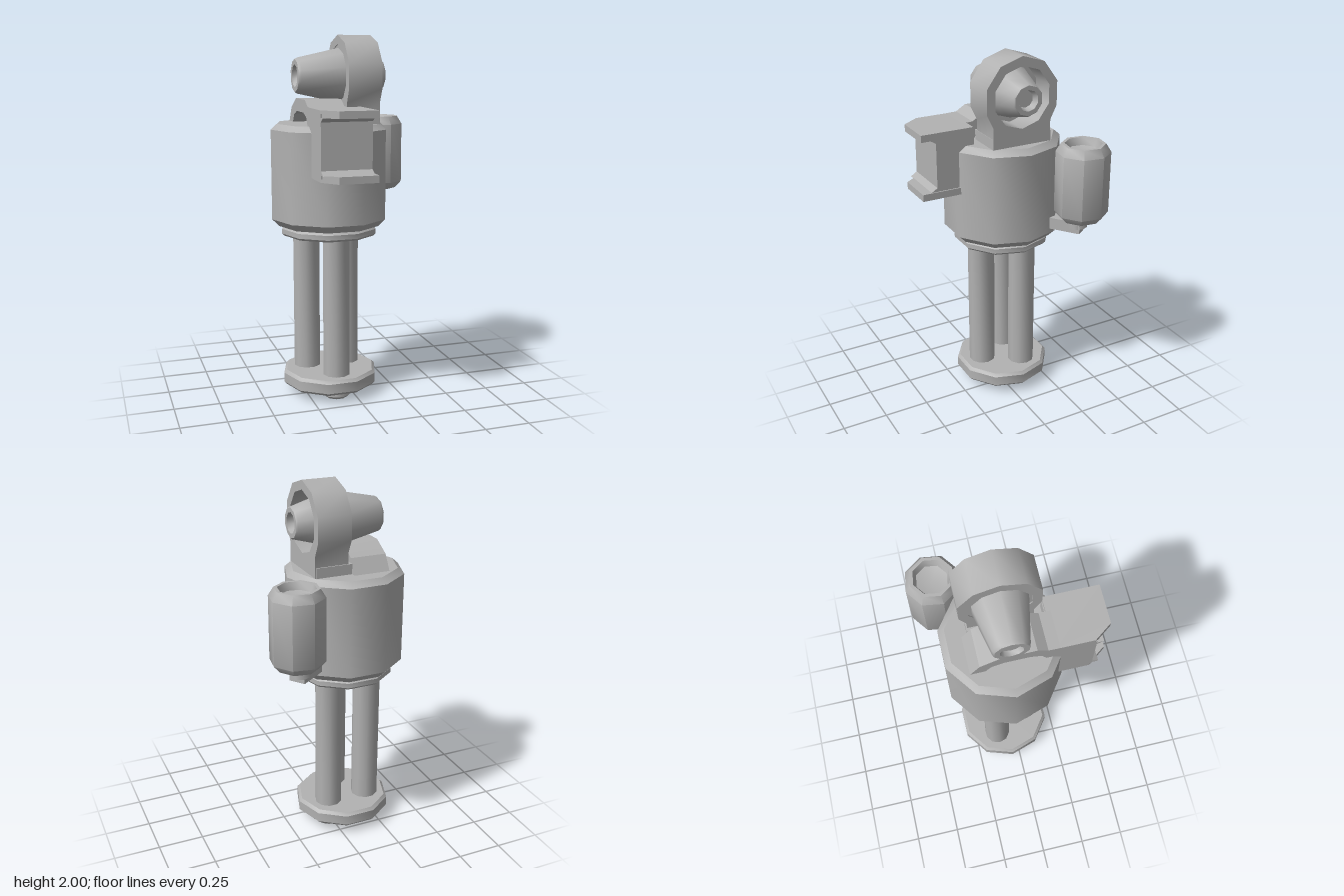
import * as THREE from 'three';
import { toCreasedNormals } from 'three/addons/utils/BufferGeometryUtils.js';

const grey = new THREE.MeshStandardMaterial({ color: 0xb2b2b2 });
grey.name = 'plain grey';

function part(name, geometry, parent, crease = 0.7) {
  const mesh = new THREE.Mesh(toCreasedNormals(geometry, crease), grey);
  mesh.name = name;
  parent.add(mesh);
  return mesh;
}

// Turned part from [radius, height] pairs, listed bottom to top
function turned(profile, sides = 10, start = Math.PI / 2) {
  return new THREE.LatheGeometry(profile.map(([r, y]) => new THREE.Vector2(r, y)), sides, start);
}

function disc(radius, bottom, top, bevel) {
  return turned([[0, bottom], [radius - bevel, bottom], [radius, bottom + bevel],
    [radius, top - bevel], [radius - bevel, top], [0, top]]);
}

function box(x0, x1, y0, y1, z0, z1) {
  return new THREE.BoxGeometry(x1 - x0, y1 - y0, z1 - z0)
    .translate((x0 + x1) / 2, (y0 + y1) / 2, (z0 + z1) / 2);
}

function outline(points) {
  return new THREE.Shape(points.map(([x, y]) => new THREE.Vector2(x, y)));
}

// Side outline of [z, y] pairs, extruded from x0 to x1
function sideExtrude(points, x0, x1) {
  return new THREE.ExtrudeGeometry(outline(points.map(([z, y]) => [-z, y])),
    { depth: x1 - x0, bevelEnabled: false }).rotateY(Math.PI / 2).translate(x0, 0, 0);
}

function ringPoints(radius, from, to) {
  const points = [];
  for (let k = from; k <= to; k++) {
    const a = Math.PI / 2 + k * Math.PI / 5;
    points.push([radius * Math.cos(a), radius * Math.sin(a)]);
  }
  return points;
}

export function createModel() {
  const model = new THREE.Group();
  const CX = -0.1, CZ = -0.05;

  // Barrel body, hip plate, foot plate and three legs share one axis
  const trunk = new THREE.Group();
  trunk.name = 'trunk';
  trunk.position.set(CX, 0, CZ);
  model.add(trunk);
  part('body', turned([[0, 0.97], [0.285, 0.97], [0.325, 1.01], [0.325, 1.5], [0.29, 1.53], [0, 1.53]]), trunk);
  part('hipPlate', disc(0.27, 0.915, 0.965, 0.012), trunk);
  part('footPlate', disc(0.27, 0.047, 0.133, 0.016), trunk);
  for (let i = 0; i < 3; i++) {
    const a = i * Math.PI * 2 / 3;
    const leg = part('leg', turned([[0, 0.02], [0.035, 0.02], [0.045, 0], [0.062, 0], [0.076, 0.015],
      [0.076, 0.93], [0, 0.93]], 10), trunk);
    leg.position.set(0.133 * Math.sin(a), 0, 0.133 * Math.cos(a));
  }

  // Canister on a diagonal bracket
  const canister = part('canister', turned([[0, 1.115], [0.11, 1.115], [0.146, 1.155], [0.146, 1.495],
    [0.118, 1.54], [0.1, 1.54], [0.085, 1.5], [0, 1.48]], 8, Math.PI / 2 + 0.24), model, 0.82);
  canister.position.set(0.282, 0, -0.33);
  const bracket = part('canisterBracket', box(0.15, 0.485, 1.035, 1.1, -0.045, 0.045), model);
  bracket.position.set(CX, 0, CZ);
  bracket.rotation.y = Math.atan2(0.28, 0.38);
  part('canisterStem', turned([[0, 1.06], [0.055, 1.06], [0.055, 1.13], [0, 1.13]], 8), model, 0.82)
    .position.set(0.265, 0, -0.32);

  // C-shaped front bracket: a web between two flanges with a cut corner
  const front = new THREE.Group();
  front.name = 'frontBracket';
  model.add(front);
  part('web', box(-0.27, 0.003, 1.285, 1.61, 0.17, 0.385), front, 0.4);
  for (const [y, back] of [[1.59, 0.175], [1.267, 0.2]]) {
    const flange = outline([[-0.27, -back], [-0.27, -0.375], [-0.2, -0.47], [0.01, -0.47], [0.01, -back]]);
    part('flange', new THREE.ExtrudeGeometry(flange, { depth: 0.038, bevelEnabled: false })
      .rotateX(-Math.PI / 2).translate(0, y, 0), front, 0.4);
  }
  for (const [y, rise] of [[1.304, 0.025], [1.591, -0.025]]) {
    part('flangeFillet', sideExtrude(rise > 0
      ? [[0.38, y], [0.42, y], [0.38, y + rise]]
      : [[0.38, y], [0.38, y + rise], [0.42, y]], -0.27, 0.003), front, 0.4);
  }

  // Arched arm from the bracket over the top of the body
  part('arm', sideExtrude([[0.2, 1.628], [0.14, 1.63], [0.085, 1.663], [-0.1, 1.663], [-0.2, 1.61],
    [-0.255, 1.52], [-0.18, 1.52], [-0.14, 1.575], [-0.08, 1.595], [0.05, 1.595], [0.11, 1.575],
    [0.14, 1.52], [0.2, 1.52]], -0.27, -0.07), model, 0.5);

  // Ring-shaped head on a neck
  const head = new THREE.Group();
  head.name = 'head';
  head.position.set(0, 1.785, -0.045);
  model.add(head);
  const ring = outline([...ringPoints(0.215, -3, 3), [-0.168, -0.14], [-0.168, -0.27],
    [0.168, -0.27], [0.168, -0.14]]);
  ring.holes.push(new THREE.Path(ringPoints(0.165, 0, 9).map(([x, y]) => new THREE.Vector2(x, y))));
  part('headRing', new THREE.ExtrudeGeometry(ring, { depth: 0.185, bevelEnabled: false })
    .rotateY(Math.PI / 2).translate(-0.05, 0, 0), head);
  part('neckBase', box(-0.069, 0.13, -0.28, -0.2, -0.175, 0.17), head);

  // Parts turned about the x axis inside the ring
  const along = (geometry) => geometry.rotateZ(-Math.PI / 2);
  part('ringFloor', along(turned([[0, -0.045], [0.17, -0.045], [0.17, 0], [0, 0]])), head);
  part('rearCone', along(turned([[0, -0.265], [0.05, -0.265], [0.06, -0.29], [0.088, -0.29],
    [0.096, -0.275], [0.145, -0.05], [0.145, 0], [0, 0]])), head);
  part('lens', along(turned([[0.145, -0.01], [0.135, 0.02], [0.115, 0.09], [0.086, 0.19],
    [0.08, 0.198], [0.056, 0.198], [0.045, 0.16], [0, 0.16]])), head);

  return model;
}
